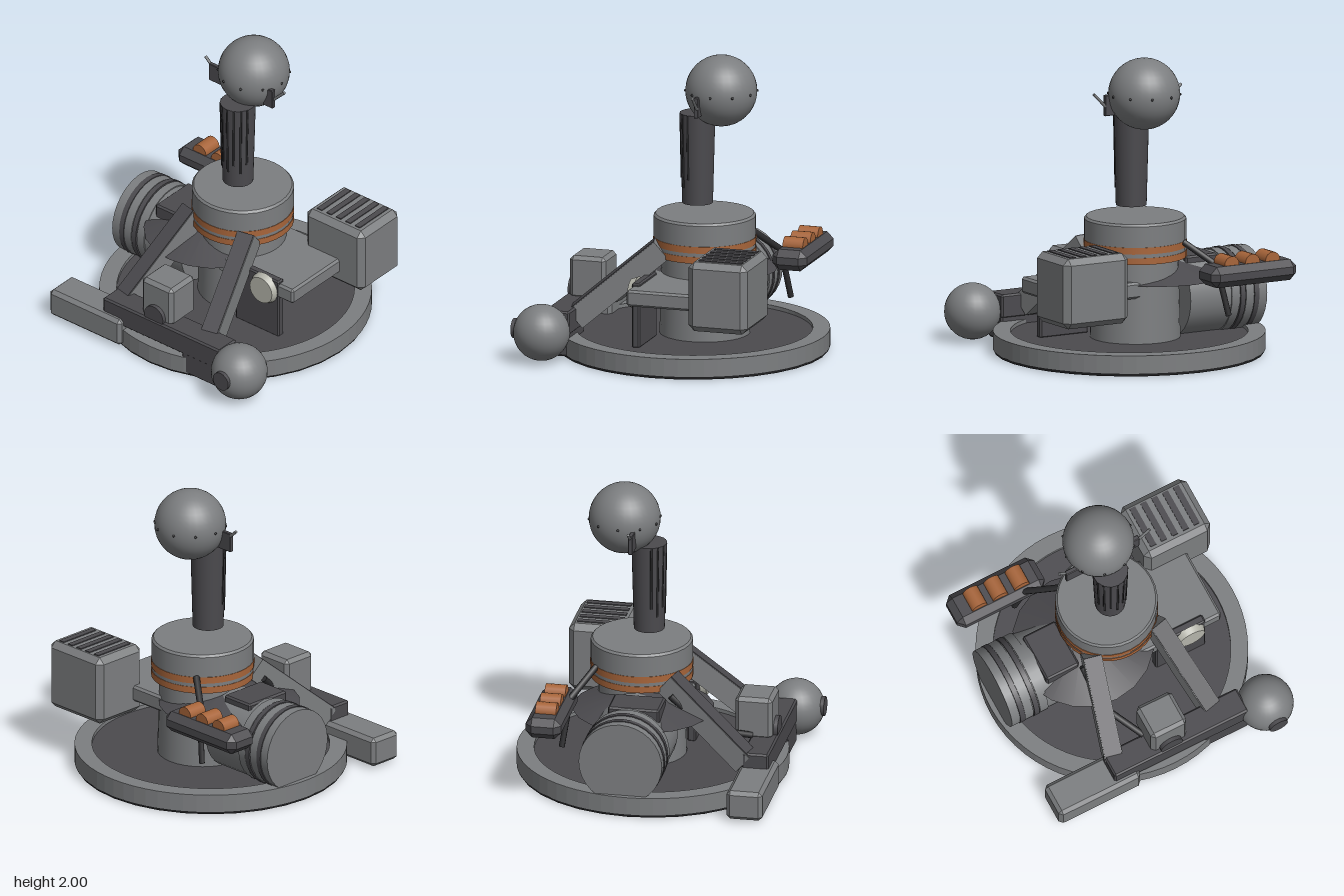
import * as THREE from 'three';
import { ConvexGeometry } from 'three/addons/geometries/ConvexGeometry.js';

const mat = (name, color) => {
  const m = new THREE.MeshStandardMaterial({ color });
  m.name = name;
  return m;
};

export function createModel() {
  const grey = mat('hull grey', 0x7c7e80);
  const dark = mat('dark grey', 0x4b4a4e);
  const black = mat('near black', 0x2c2c2e);
  const orange = mat('orange', 0xa8653a);
  const pale = mat('lamp white', 0xb4b4aa);

  const model = new THREE.Group();
  model.name = 'machine';

  const add = (name, geo, material, x = 0, y = 0, z = 0) => {
    const m = new THREE.Mesh(geo, material);
    m.name = name;
    m.position.set(x, y, z);
    model.add(m);
    return m;
  };
  // Chamfered box given by its min and max corners
  const block = (name, material, x0, x1, y0, y1, z0, z1, b = 0.02) => {
    const h = [(x1 - x0) / 2, (y1 - y0) / 2, (z1 - z0) / 2];
    const pts = [];
    for (const sx of [-1, 1]) for (const sy of [-1, 1]) for (const sz of [-1, 1])
      for (let a = 0; a < 3; a++) {
        const d = [b, b, b];
        d[a] = 0;
        pts.push(new THREE.Vector3(sx * (h[0] - d[0]), sy * (h[1] - d[1]), sz * (h[2] - d[2])));
      }
    return add(name, new ConvexGeometry(pts), material, (x0 + x1) / 2, (y0 + y1) / 2, (z0 + z1) / 2);
  };
  const cyl = (name, material, rTop, rBottom, y0, y1, x, z, sides = 32) =>
    add(name, new THREE.CylinderGeometry(rTop, rBottom, y1 - y0, sides), material, x, (y0 + y1) / 2, z);
  // Round rod between two points
  const rod = (name, material, a, b, r, sides = 8) => {
    const p = new THREE.Vector3(...a), q = new THREE.Vector3(...b);
    const dir = q.clone().sub(p);
    const m = add(name, new THREE.CylinderGeometry(r, r, dir.length(), sides), material);
    m.position.copy(p).add(q).multiplyScalar(0.5);
    m.quaternion.setFromUnitVectors(new THREE.Vector3(0, 1, 0), dir.normalize());
    return m;
  };

  // Round base: raised rim, recessed floor and underside
  const rim = new THREE.Shape().absarc(0, 0, 0.9, 0, Math.PI * 2);
  rim.holes.push(new THREE.Path().absarc(0, 0, 0.785, 0, Math.PI * 2, true));
  const rimGeo = new THREE.ExtrudeGeometry(rim, { depth: 0.12, bevelEnabled: false, curveSegments: 32 });
  rimGeo.rotateX(-Math.PI / 2);
  add('baseRim', rimGeo, grey, 0, 0.02, -0.06);
  cyl('baseFloor', dark, 0.79, 0.79, 0.02, 0.115, 0, -0.06);
  cyl('baseUnderside', black, 0.9, 0.89, 0, 0.02, 0, -0.06);

  // Column, drum and painted bands
  cyl('column', grey, 0.285, 0.3, 0.11, 0.67, 0, -0.135);
  cyl('drum', grey, 0.338, 0.338, 0.655, 0.91, 0, -0.135);
  cyl('drumCap', grey, 0.325, 0.338, 0.91, 0.925, 0, -0.135);
  cyl('lowerBand', orange, 0.341, 0.341, 0.655, 0.7, 0, -0.135);
  cyl('upperBand', orange, 0.341, 0.341, 0.725, 0.77, 0, -0.135);
  cyl('columnSkirt', dark, 0.001, 0.47, 0.505, 0.66, -0.2, -0.085, 20);

  // Neck with ribs along its front
  cyl('neck', dark, 0.118, 0.102, 0.99, 1.6, 0, -0.085);
  for (let i = 0; i < 7; i++) {
    const a = (i - 3) * 0.42;
    const s = Math.sin(a), c = Math.cos(a);
    const low = i % 2 ? 1.1 : 1.16;
    rod('neckRib', black, [s * 0.104, low, -0.085 + c * 0.104], [s * 0.115, 1.598, -0.085 + c * 0.113], 0.008, 6);
  }

  // Head with rivets, side flaps and aerials
  add('head', new THREE.SphereGeometry(0.238, 32, 20), grey, 0, 1.762, -0.25);
  for (let i = 0; i < 10; i++) {
    const a = ((i + 0.5) / 10) * Math.PI * 2;
    add('headRivet', new THREE.SphereGeometry(0.009, 8, 6), black,
      Math.sin(a) * 0.238, 1.762, -0.25 + Math.cos(a) * 0.238);
  }
  block('rightFlap', dark, -0.295, -0.17, 1.62, 1.75, -0.17, -0.14, 0.004);
  block('leftFlap', dark, 0.17, 0.25, 1.62, 1.76, -0.17, -0.14, 0.004);
  rod('rightAerial', grey, [-0.22, 1.67, -0.16], [-0.34, 1.78, -0.16], 0.01);
  rod('leftAerial', grey, [0.22, 1.66, -0.16], [0.335, 1.775, -0.16], 0.01);

  // Front crossbar with its lower block
  block('crossbar', dark, -0.43, 0.57, 0.16, 0.32, 0.62, 0.8, 0.012);
  block('crossbarDrop', dark, 0.24, 0.57, 0.015, 0.3, 0.625, 0.795, 0.012);
  block('frontSideBox', grey, -0.86, -0.25, 0.02, 0.22, 0.6, 0.84, 0.025);
  block('frontBox', grey, -0.132, 0.132, 0.3, 0.59, 0.515, 0.765, 0.025);
  rod('frontBoxLens', dark, [0, 0.345, 0.75], [0, 0.345, 0.792], 0.08, 20);

  // Front ball with its dark cap
  add('frontBall', new THREE.SphereGeometry(0.188, 28, 18), grey, 0.71, 0.205, 0.765);
  rod('frontBallCap', dark, [0.71, 0.22, 0.91], [0.71, 0.22, 0.96], 0.066, 20);

  // Sloping braces with dark upper faces
  for (const s of [-1, 1]) {
    const top = new THREE.Vector3(s * 0.235, 0.715, 0.085);
    const foot = new THREE.Vector3(s * 0.365, 0.235, 0.64);
    const brace = new THREE.Group();
    brace.name = s < 0 ? 'rightBrace' : 'leftBrace';
    brace.position.copy(top).add(foot).multiplyScalar(0.5);
    brace.lookAt(foot);
    const len = top.distanceTo(foot);
    const body = new THREE.Mesh(new THREE.BoxGeometry(0.125, 0.15, len), grey);
    body.name = 'braceBody';
    const plate = new THREE.Mesh(new THREE.BoxGeometry(0.115, 0.008, len), dark);
    plate.name = 'braceTopPlate';
    plate.position.y = 0.077;
    brace.add(body, plate);
    model.add(brace);
  }

  // Bent hose beside the right brace
  const bends = [[-0.315, 0.64, 0.12], [-0.29, 0.42, 0.36], [-0.13, 0.33, 0.63]];
  rod('hoseUpper', black, bends[0], bends[1], 0.022);
  rod('hoseLower', black, bends[1], bends[2], 0.022);
  add('hoseElbow', new THREE.SphereGeometry(0.023, 8, 6), black, ...bends[1]);

  // Side barrel lying along x, with hoops and a block on top
  rod('barrel', grey, [-0.845, 0.36, -0.11], [-0.28, 0.36, -0.11], 0.272, 32);
  for (const x of [-0.835, -0.735, -0.625])
    rod('barrelRing', grey, [x - 0.03, 0.36, -0.11], [x + 0.03, 0.36, -0.11], 0.28, 32);
  for (const x of [-0.785, -0.68])
    rod('barrelHoop', dark, [x - 0.018, 0.36, -0.11], [x + 0.018, 0.36, -0.11], 0.284, 32);
  block('barrelTopBox', dark, -0.565, -0.32, 0.5, 0.635, -0.255, 0.09, 0.012);

  // Rear rack with three orange canisters
  block('rearRack', dark, -0.895, -0.24, 0.5, 0.64, -0.75, -0.51, 0.045);
  for (const x of [-0.72, -0.565, -0.405])
    rod('canister', orange, [x, 0.645, -0.7], [x, 0.645, -0.56], 0.056, 16);
  rod('rackStrut', black, [-0.43, 0.58, -0.56], [-0.21, 0.77, -0.4], 0.022);
  rod('rackLowerStrut', black, [-0.4, 0.53, -0.55], [-0.45, 0.28, -0.585], 0.02);

  // Left platform with its upright plate and lamp
  block('sidePlatform', grey, 0.05, 0.69, 0.42, 0.53, -0.4, 0.185, 0.015);
  block('uprightPlate', dark, 0.2, 0.57, 0.11, 0.55, 0.13, 0.187, 0.01);
  const lamp = rod('lamp', pale, [0.45, 0.455, 0.18], [0.45, 0.455, 0.225], 0.108, 24);
  lamp.geometry = new THREE.CylinderGeometry(0.095, 0.112, 0.045, 24);

  // Rear power box with vent slats
  block('rearBox', grey, 0.385, 0.88, 0.33, 0.8, -0.71, -0.3, 0.04);
  for (let i = 0; i < 5; i++)
    add('ventSlat', new THREE.BoxGeometry(0.042, 0.009, 0.3), dark, 0.47 + i * 0.081, 0.802, -0.51);

  return model;
}
